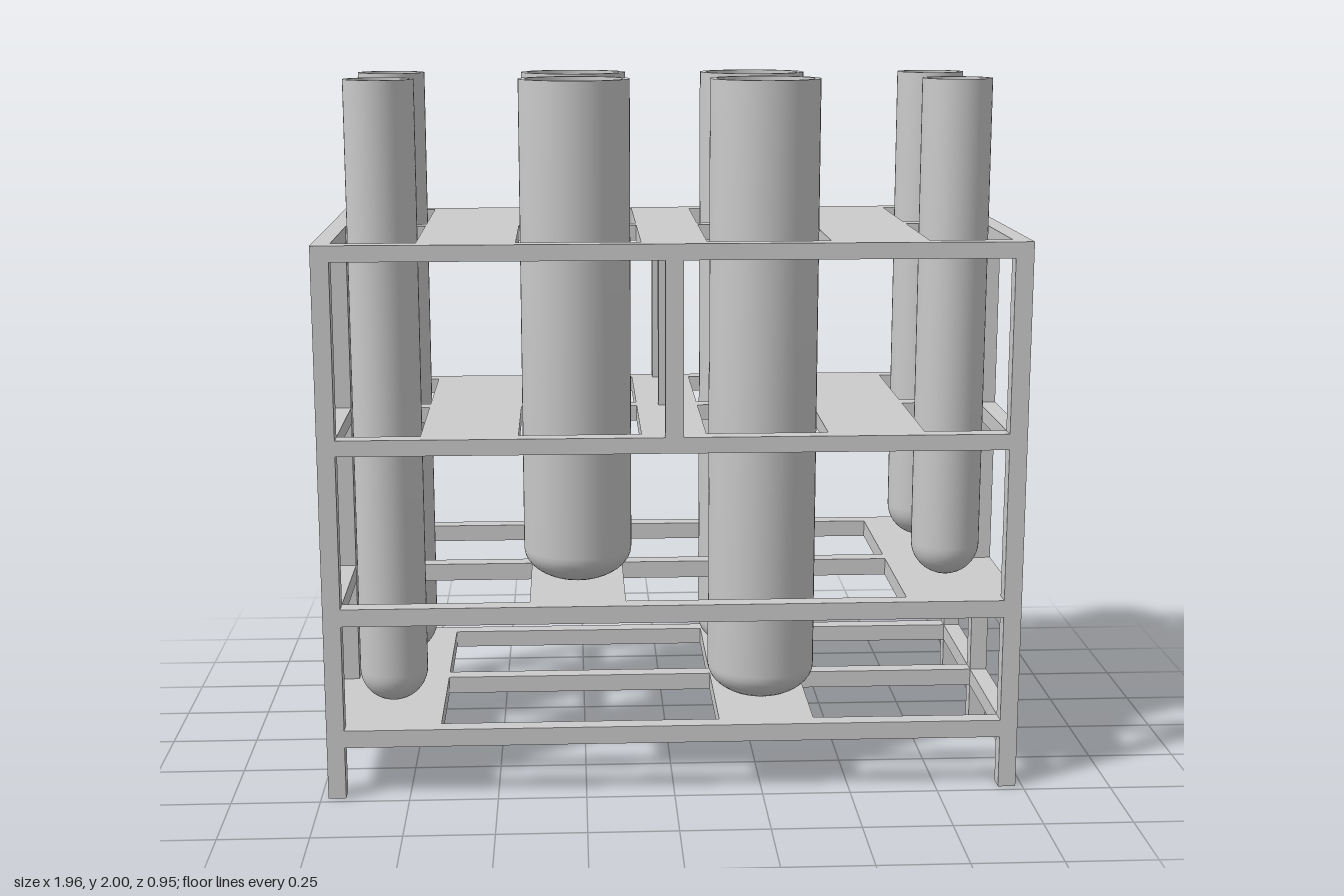
import * as THREE from 'three';
import { toCreasedNormals } from 'three/addons/utils/BufferGeometryUtils.js';

const W = 0.98, D = 0.475, BAR = 0.05, TOP = 1.57;
const material = new THREE.MeshStandardMaterial({ color: 0xcccccc });

function addMesh(parent, name, geometry, x = 0, y = 0, z = 0) {
  const mesh = new THREE.Mesh(geometry, material);
  mesh.name = name;
  mesh.position.set(x, y, z);
  parent.add(mesh);
  return mesh;
}

function rectangle(path, x0, x1, y0, y1) {
  path.moveTo(x0, y0);
  path.lineTo(x1, y0);
  path.lineTo(x1, y1);
  path.lineTo(x0, y1);
  path.closePath();
  return path;
}

// Flat tier with openings given as x ranges, one in each half of the depth
function tierGeometry(openings, thickness) {
  const shape = rectangle(new THREE.Shape(), -W, W, -D, D);
  for (const [x0, x1] of openings) {
    shape.holes.push(rectangle(new THREE.Path(), x0, x1, BAR / 2, D - BAR));
    shape.holes.push(rectangle(new THREE.Path(), x0, x1, BAR - D, -BAR / 2));
  }
  return new THREE.ExtrudeGeometry(shape, { depth: thickness, bevelEnabled: false }).rotateX(-Math.PI / 2);
}

// Hollow tube with a domed end; the inside ends in a bowl or a flat floor
function tubeGeometry(radius, wall, bottom, bowl) {
  const dome = 0.095, steps = 10, inner = radius - wall;
  const points = [];
  for (let i = 0; i <= steps; i++) {
    const a = (i / steps) * Math.PI / 2;
    points.push(new THREE.Vector2(radius * Math.sin(a), bottom + dome * (1 - Math.cos(a))));
  }
  points.push(new THREE.Vector2(radius, 2), new THREE.Vector2(inner, 2));
  if (bowl) {
    for (let i = steps; i >= 0; i--) {
      const a = (i / steps) * Math.PI / 2;
      points.push(new THREE.Vector2(inner * Math.sin(a), bottom + dome - (dome - wall) * Math.cos(a)));
    }
  } else {
    points.push(new THREE.Vector2(inner, bottom + dome), new THREE.Vector2(0, bottom + dome));
  }
  return toCreasedNormals(new THREE.LatheGeometry(points, 48), 0.7);
}

export function createModel() {
  const model = new THREE.Group();
  model.name = 'testTubeRack';

  // Legs: three along each end
  const frame = new THREE.Group();
  frame.name = 'frame';
  model.add(frame);
  const rows = [-(D - BAR / 2), 0, D - BAR / 2];
  for (const side of [-1, 1]) {
    for (const z of rows) {
      addMesh(frame, 'leg', new THREE.BoxGeometry(BAR, TOP, BAR), side * (W - BAR / 2), TOP / 2, z);
    }
  }

  // Short posts between the two upper tiers
  for (const z of rows) {
    addMesh(frame, 'centrePost', new THREE.BoxGeometry(BAR, 0.5, BAR), 0, 1.28, z);
  }

  // Tiers: two guide plates above, two staggered supports below
  const guide = [[-0.93, -0.7], [-0.43, -0.09], [0.09, 0.43], [0.7, 0.93]];
  const tiers = [
    ['topGuide', 1.525, 0.045, guide],
    ['middleGuide', 0.99, 0.045, guide],
    ['upperSupport', 0.505, 0.05, [[-0.93, -0.405], [-0.135, 0.66]]],
    ['lowerSupport', 0.15, 0.05, [[-0.66, 0.13], [0.4, 0.93]]],
  ];
  for (const [name, y, thickness, openings] of tiers) {
    addMesh(frame, name, tierGeometry(openings, thickness), 0, y, 0);
  }

  // Two matching rows of tubes, alternately long and short
  const tubes = [
    ['longNarrowTube', -0.807, 0.098, 0.012, 0.208],
    ['shortWideTube', -0.268, 0.155, 0.018, 0.568],
    ['longWideTube', 0.265, 0.155, 0.018, 0.208],
    ['shortNarrowTube', 0.803, 0.098, 0.012, 0.568],
  ];
  for (const z of [0.223, -0.223]) {
    for (const [name, x, radius, wall, bottom] of tubes) {
      addMesh(model, name, tubeGeometry(radius, wall, bottom, z > 0), x, 0, z);
    }
  }
  return model;
}
